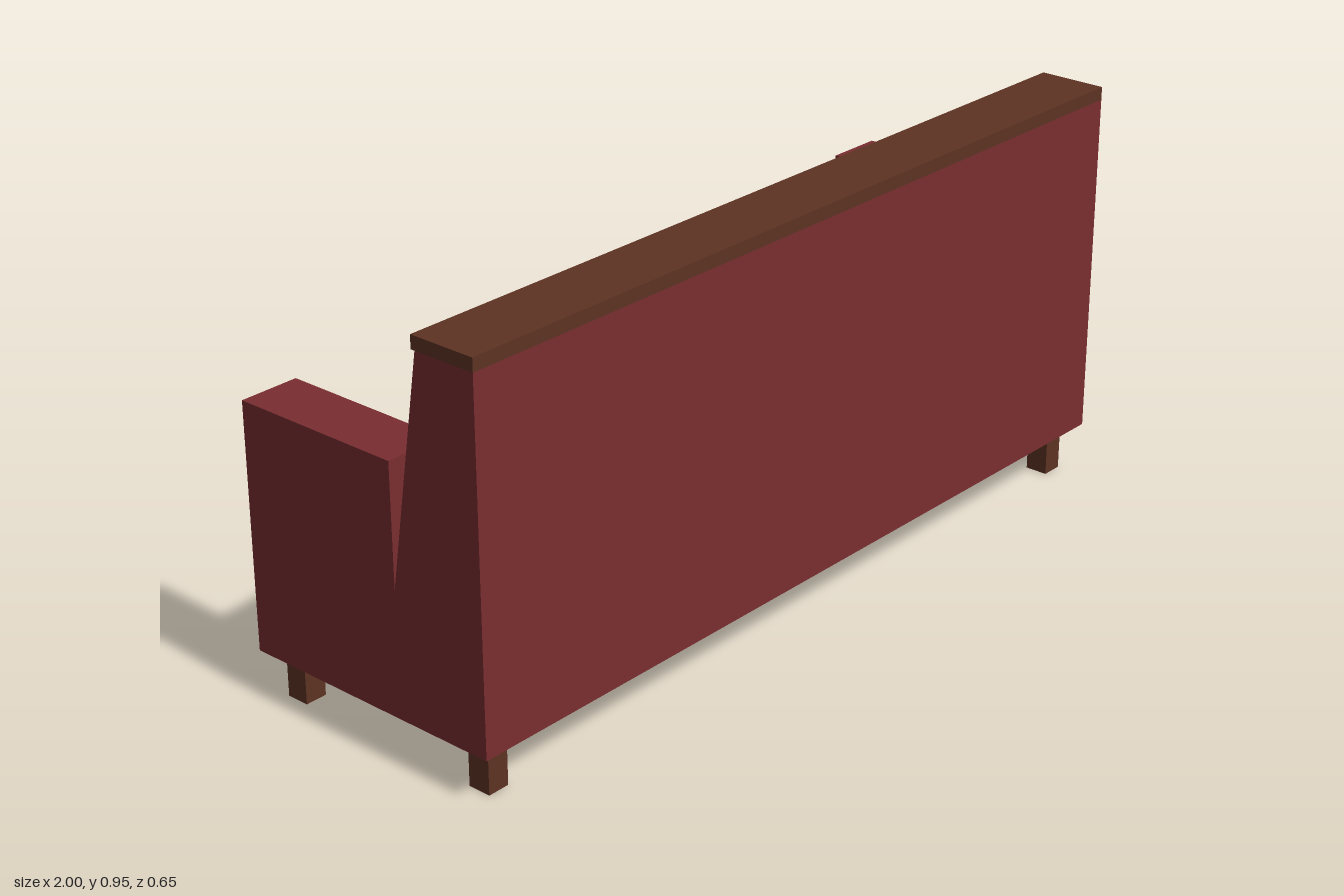
import * as THREE from 'three';
import { toCreasedNormals } from 'three/addons/utils/BufferGeometryUtils.js';

const paint = (color) => new THREE.MeshStandardMaterial({ color });
const red = paint(0x7a2e31), wood = paint(0x5e3324);
const blanketRed = paint(0x88322d), white = paint(0xe6e2d8);

function add(group, name, geometry, material) {
  const mesh = new THREE.Mesh(geometry, material);
  mesh.name = name;
  group.add(mesh);
  return mesh;
}

// Box given by its lower and upper limits on each axis
function box(x0, x1, y0, y1, z0, z1) {
  return new THREE.BoxGeometry(x1 - x0, y1 - y0, z1 - z0)
    .translate((x0 + x1) / 2, (y0 + y1) / 2, (z0 + z1) / 2);
}

// Flat outline extruded by depth along z
function slab(points, depth) {
  const shape = new THREE.Shape(points.map(([x, y]) => new THREE.Vector2(x, y)));
  return new THREE.ExtrudeGeometry(shape, { depth, bevelEnabled: false });
}

// Padded shape with cut corners: each ring is [scale, height], closed by centre points
function padded(x0, x1, z0, z1, cut, rings) {
  const cx = (x0 + x1) / 2, cz = (z0 + z1) / 2;
  const w = (x1 - x0) / 2, d = (z1 - z0) / 2;
  const outline = [
    [w, -d + cut], [w, d - cut], [w - cut, d], [-w + cut, d],
    [-w, d - cut], [-w, -d + cut], [-w + cut, -d], [w - cut, -d],
  ];
  const n = outline.length, pos = [], index = [];
  for (const [s, y] of rings)
    for (const [x, z] of outline) pos.push(cx + x * s, y, cz + z * s);
  for (let r = 0; r < rings.length - 1; r++)
    for (let i = 0; i < n; i++) {
      const a = r * n + i, b = r * n + (i + 1) % n;
      index.push(a, a + n, b, b, a + n, b + n);
    }
  const low = rings.length * n, high = low + 1, last = low - n;
  pos.push(cx, rings[0][1], cz, cx, rings.at(-1)[1], cz);
  for (let i = 0; i < n; i++) {
    const j = (i + 1) % n;
    index.push(low, i, j, high, last + j, last + i);
  }
  const geometry = new THREE.BufferGeometry();
  geometry.setAttribute('position', new THREE.Float32BufferAttribute(pos, 3));
  geometry.setIndex(index);
  return toCreasedNormals(geometry, 0.7);
}

export function createModel() {
  const sofa = new THREE.Group();
  sofa.name = 'sofa';

  // Frame: base, arms and sloping backrest
  add(sofa, 'seatBase', box(-0.86, 0.86, 0.11, 0.395, -0.325, 0.09), red);
  for (const side of [-1, 1])
    add(sofa, side > 0 ? 'leftArm' : 'rightArm',
      box(-0.07, 0.07, 0.11, 0.67, -0.325, 0.09).translate(side * 0.93, 0, 0), red);
  const back = slab([[-0.325, 0.11], [-0.09, 0.11], [-0.09, 0.395], [-0.175, 0.92], [-0.325, 0.92]], 2);
  add(sofa, 'backrest', back.rotateY(Math.PI / 2).translate(-1, 0, 0), red);
  add(sofa, 'backrestCap', box(-1, 1, 0.92, 0.95, 0.165, 0.325), wood);

  // Legs
  for (const x of [-0.935, 0.935])
    for (const z of [-0.262, 0.262])
      add(sofa, 'leg', box(x - 0.026, x + 0.026, 0, 0.11, z - 0.027, z + 0.027), wood);

  // Three seat cushions
  for (let i = 0; i < 3; i++) {
    const x = -0.85 + i * 0.565;
    add(sofa, 'seatCushion', padded(x, x + 0.56, -0.3, 0.11, 0.075,
      [[0.93, 0.395], [1, 0.41], [1, 0.432], [0.88, 0.448], [0.65, 0.459], [0.3, 0.465]]), red);
  }

  // Bedding: thin mattress, blanket with folded sheet, pillow
  add(sofa, 'mattress', padded(-0.8, 0.795, -0.16, 0.107, 0.045,
    [[0.97, 0.455], [0.99, 0.465], [1, 0.48], [1, 0.498], [0.985, 0.508], [0.96, 0.511]]), white);
  const blanket = slab([[0.79, 0.502], [0.79, 0.516], [-0.11, 0.538], [-0.25, 0.531],
    [-0.37, 0.513], [-0.37, 0.502]], 0.256);
  add(sofa, 'blanket', blanket.translate(0, 0, -0.152), blanketRed);
  const fold = slab([[-0.11, 0.535], [-0.11, 0.543], [-0.25, 0.536], [-0.38, 0.517],
    [-0.38, 0.509], [-0.25, 0.529]], 0.26);
  add(sofa, 'foldedSheet', fold.translate(0, 0, -0.154), white);
  add(sofa, 'pillow', padded(-0.79, -0.4, -0.125, 0.108, 0.06,
    [[0.8, 0.51], [0.95, 0.52], [1, 0.533], [1, 0.552], [0.94, 0.572], [0.82, 0.592],
      [0.64, 0.606], [0.4, 0.615], [0.15, 0.618]]), white);

  return sofa;
}
